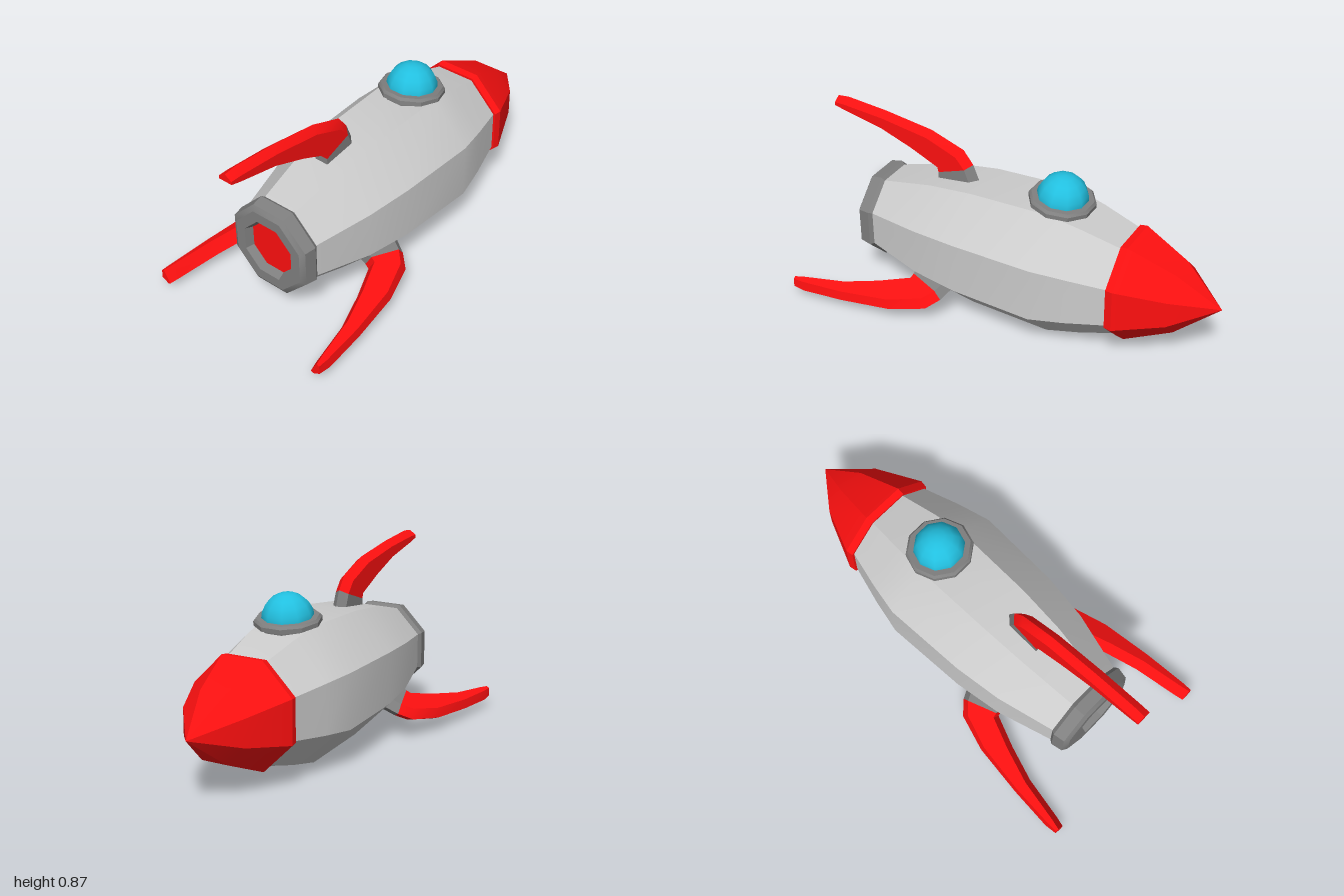
import * as THREE from 'three';
import { toCreasedNormals } from 'three/addons/utils/BufferGeometryUtils.js';

const AXIS_Y = 0.325; // height of the hull's centre line
const paint = (color) => new THREE.MeshStandardMaterial({ color });

function part(name, geometry, material, parent) {
  const mesh = new THREE.Mesh(geometry, material);
  mesh.name = name;
  parent.add(mesh);
  return mesh;
}

// Faceted solid of revolution about y, from [apothem, height] pairs
function turned(profile, sides, crease = 0.5) {
  const k = 1 / Math.cos(Math.PI / sides);
  const points = profile.map(([r, h]) => new THREE.Vector2(r * k, h));
  return toCreasedNormals(new THREE.LatheGeometry(points, sides, Math.PI / sides), crease);
}

// The same, laid along z
const hullPart = (profile) => turned(profile, 8).rotateX(Math.PI / 2);

// Five-sided fin skin through sections of [ridge, shoulder, inner], each [z, y]
function finSkin(sections, half) {
  const positions = [];
  const index = [];
  for (const [ridge, shoulder, inner] of sections) {
    const ring = [[0, ridge], [half, shoulder], [half, inner], [-half, inner], [-half, shoulder]];
    for (const [x, [z, y]] of ring) positions.push(x, y - AXIS_Y, z);
  }
  const last = (sections.length - 1) * 5;
  for (let s = 0; s < last; s += 5) {
    for (let j = 0; j < 5; j++) {
      const n = (j + 1) % 5;
      index.push(s + j, s + 5 + j, s + 5 + n, s + j, s + 5 + n, s + n);
    }
  }
  // End caps
  for (let j = 1; j < 4; j++) {
    index.push(0, j, j + 1, last, last + j + 1, last + j);
  }
  const geometry = new THREE.BufferGeometry();
  geometry.setAttribute('position', new THREE.Float32BufferAttribute(positions, 3));
  geometry.setIndex(index);
  return toCreasedNormals(geometry, 0.5);
}

export function createModel() {
  const model = new THREE.Group();
  model.name = 'rocket';
  const grey = paint(0xcccccc);
  const darkGrey = paint(0x808080);
  const red = paint(0xff1010);
  const blue = paint(0x22c0e0);

  // Hull, nose and nozzle share one axis
  const hull = new THREE.Group();
  hull.name = 'hull';
  hull.position.y = AXIS_Y;
  model.add(hull);

  part('body', hullPart([
    [0.23, -0.56], [0.285, -0.36], [0.32, -0.2], [0.305, 0.2], [0.275, 0.43], [0.2, 0.72],
  ]), grey, hull);
  part('noseCone', hullPart([
    [0, -1], [0.155, -0.8], [0.25, -0.58], [0.245, -0.545], [0.2, -0.545],
  ]), red, hull);
  part('nozzle', hullPart([
    [0.19, 0.7], [0.203, 0.7], [0.217, 0.72], [0.207, 0.775], [0.183, 0.79],
    [0.135, 0.79], [0.12, 0.75],
  ]), darkGrey, hull);
  const burner = part('burner', new THREE.CircleGeometry(0.131, 8, Math.PI / 8), red, hull);
  burner.position.z = 0.752;

  // Three curved fins around the tail
  const finSections = [
    [[0.22, 0.6], [0.255, 0.59], [0.43, 0.57]],
    [[0.26, 0.7], [0.29, 0.68], [0.43, 0.63]],
    [[0.31, 0.765], [0.335, 0.735], [0.435, 0.655]],
    [[0.48, 0.825], [0.49, 0.795], [0.58, 0.72]],
    [[0.73, 0.86], [0.735, 0.833], [0.745, 0.78]],
    [[0.94, 0.878], [0.95, 0.85], [0.95, 0.822]],
    [[1, 0.872], [1, 0.85], [1, 0.835]],
  ];
  const rootGeometry = finSkin(finSections.slice(0, 2), 0.035);
  const bladeGeometry = finSkin(finSections.slice(1), 0.035);
  for (let i = 0; i < 3; i++) {
    const fin = new THREE.Group();
    fin.name = 'fin';
    fin.rotation.z = (i * Math.PI * 2) / 3;
    hull.add(fin);
    part('finRoot', rootGeometry, darkGrey, fin);
    part('finBlade', bladeGeometry, red, fin);
  }

  // Domed window, tilted to follow the hull
  const cockpit = new THREE.Group();
  cockpit.name = 'cockpit';
  cockpit.position.set(0, 0.665, -0.205);
  cockpit.rotation.x = -0.11;
  model.add(cockpit);
  part('windowRing', turned([
    [0.125, -0.05], [0.128, -0.025], [0.148, -0.02], [0.148, 0], [0.138, 0.012], [0.112, 0.012], [0.108, -0.01],
  ], 10), darkGrey, cockpit);
  part('windowDome', new THREE.SphereGeometry(0.121, 10, 5, 0, Math.PI * 2, 0, Math.PI / 2), blue, cockpit);

  return model;
}
